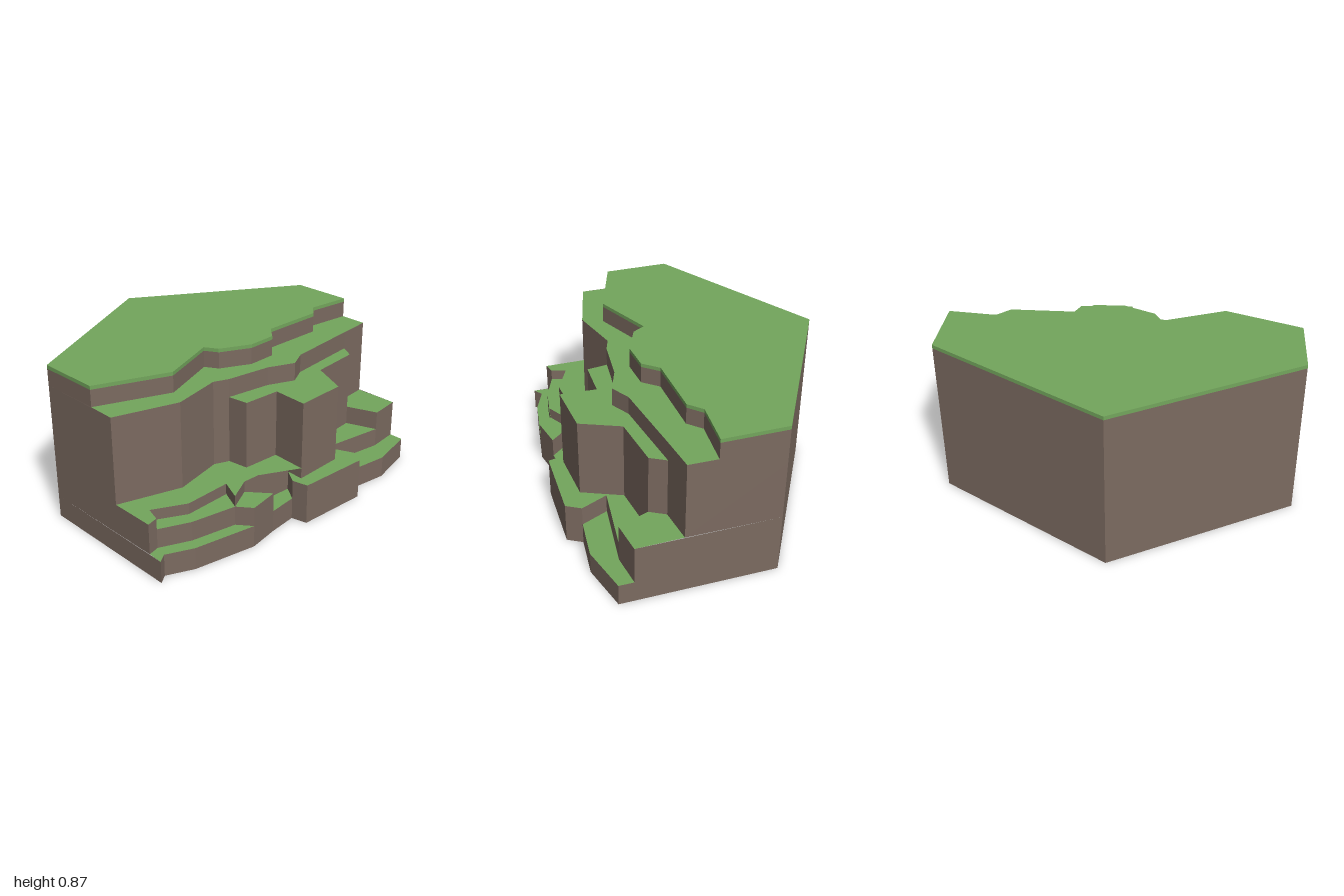
import * as THREE from 'three';
import { mergeGeometries } from 'three/addons/utils/BufferGeometryUtils.js';

const material = (color) =>
  new THREE.MeshStandardMaterial({ color, flatShading: true, side: THREE.DoubleSide });

// Runs of [x, z] corners along the cliff face, left to right
const leftToe = [[-0.58, 0.82], [-0.555, 0.765], [-0.4, 0.745]];
const wedge = [[-0.075, 0.62], [0.055, 0.505]];
const boulder = [[0.185, 0.405], [0.245, 0.47], [0.6, 0.275], [0.6, 0.185]];
const rightToe = [[0.81, 0.09], [1, -0.1]];
const leftLip = [[-0.62, 0.745], [-0.575, 0.7]];
const leftStep = [-0.4, 0.675];
const spur = [-0.165, 0.585];
const notch = [[-0.085, 0.455], [0.19, 0.3025]];
const bay = [0.47, 0.09];
const rightLip = [[0.82, -0.06], [0.96, -0.17]];
const leftNook = [[-0.595, 0.615], [-0.4, 0.6], [-0.18, 0.455]];
const leftFace = [[-0.745, 0.53], [-0.4, 0.44], [-0.195, 0.24], [-0.11, 0.225]];
const outcropLeft = [[-0.04, 0.315], [0.145, 0.215]];
const outcropRight = [[0.235, 0.39], [0.475, 0.23], [0.45, 0], [0.68, -0.175]];
const recess = [[0.12, 0.125], [0.275, 0.1], [0.335, 0]];
const rightFace = [[0.68, -0.27], [0.83, -0.385]];
const rim = [
  [-0.82, 0.395], [-0.41, 0.32], [-0.2, 0.04], [-0.13, 0.08], [0.05, 0.06],
  [0.185, -0.03], [0.205, -0.135], [0.505, -0.32], [0.53, -0.41], [0.755, -0.52],
];
// Hexagon corners that close every tier at the back
const back = [[0.58, -0.82], [-0.47, -0.82], [-1, 0.09]];

// Tiers from the ground up; shared corners mark where two tiers stand flush
const tiers = [
  { name: 'base', top: 0.12, front: [...leftToe, ...wedge, ...boulder, ...rightToe] },
  { name: 'lowerStep', top: 0.225,
    front: [...leftLip, leftStep, spur, ...wedge, ...notch, ...boulder, bay, ...rightLip] },
  { name: 'leftTerrace', top: 0.285,
    front: [...leftLip, ...leftNook, spur, ...notch, ...outcropRight, ...rightLip] },
  { name: 'rightTerrace', top: 0.33,
    front: [...leftFace, ...outcropLeft, ...outcropRight, ...rightLip] },
  { name: 'outcrop', top: 0.655,
    front: [...leftFace, ...outcropLeft, ...outcropRight, ...rightFace] },
  { name: 'upperLedge', top: 0.755, front: [...leftFace, ...recess, ...rightFace] },
  { name: 'plateauRock', top: 0.845, front: rim },
  { name: 'plateauTurf', top: 0.865, front: rim, turf: true },
];

// Flat ground covering an outline
function cap(outline, y) {
  const shape = new THREE.Shape(outline.map(([x, z]) => new THREE.Vector2(x, -z)));
  return new THREE.ShapeGeometry(shape).rotateX(-Math.PI / 2).translate(0, y, 0);
}

// Upright quad between two corners, facing outwards
function wall([x0, z0], [x1, z1], bottom, top) {
  const geometry = new THREE.PlaneGeometry(Math.hypot(x1 - x0, z1 - z0), top - bottom);
  geometry.rotateY(-Math.atan2(z1 - z0, x1 - x0));
  return geometry.translate((x0 + x1) / 2, (top + bottom) / 2, (z0 + z1) / 2);
}

// Outlines of the ledges left between a tier's front and the one above, split at shared corners
function ledgeOutlines(lower, upper) {
  const outlines = [];
  let i = 0;
  let j = 0;
  for (const knot of [...lower.filter((p) => upper.includes(p)), lower.at(-1)]) {
    const iEnd = lower.indexOf(knot);
    const jEnd = upper.includes(knot) ? upper.indexOf(knot) : upper.length - 1;
    const outline = new Set([
      ...lower.slice(i, iEnd + 1), ...upper.slice(j, jEnd + 1).reverse()]);
    if (outline.size > 2) outlines.push([...outline]);
    i = iEnd;
    j = jEnd;
  }
  return outlines;
}

export function createModel() {
  const model = new THREE.Group();
  model.name = 'hexagonalCliff';
  const grassMaterial = material(0x73a65c);
  const rockMaterial = material(0x7b6a60);
  const add = (name, parts, partMaterial) => {
    const mesh = new THREE.Mesh(mergeGeometries(parts), partMaterial);
    mesh.name = name;
    model.add(mesh);
  };

  tiers.forEach(({ name, top, front, turf }, t) => {
    const bottom = t > 0 ? tiers[t - 1].top : 0;
    const loop = [...front, ...back];
    const walls = loop.map((p, i) => wall(p, loop[(i + 1) % loop.length], bottom, top));
    add(name + 'Walls', walls, turf ? grassMaterial : rockMaterial);

    const above = tiers[t + 1];
    const outlines = above ? ledgeOutlines(front, above.front) : [loop];
    if (outlines.length) {
      add(name + 'Grass', outlines.map((outline) => cap(outline, top)), grassMaterial);
    }
  });
  return model;
}
